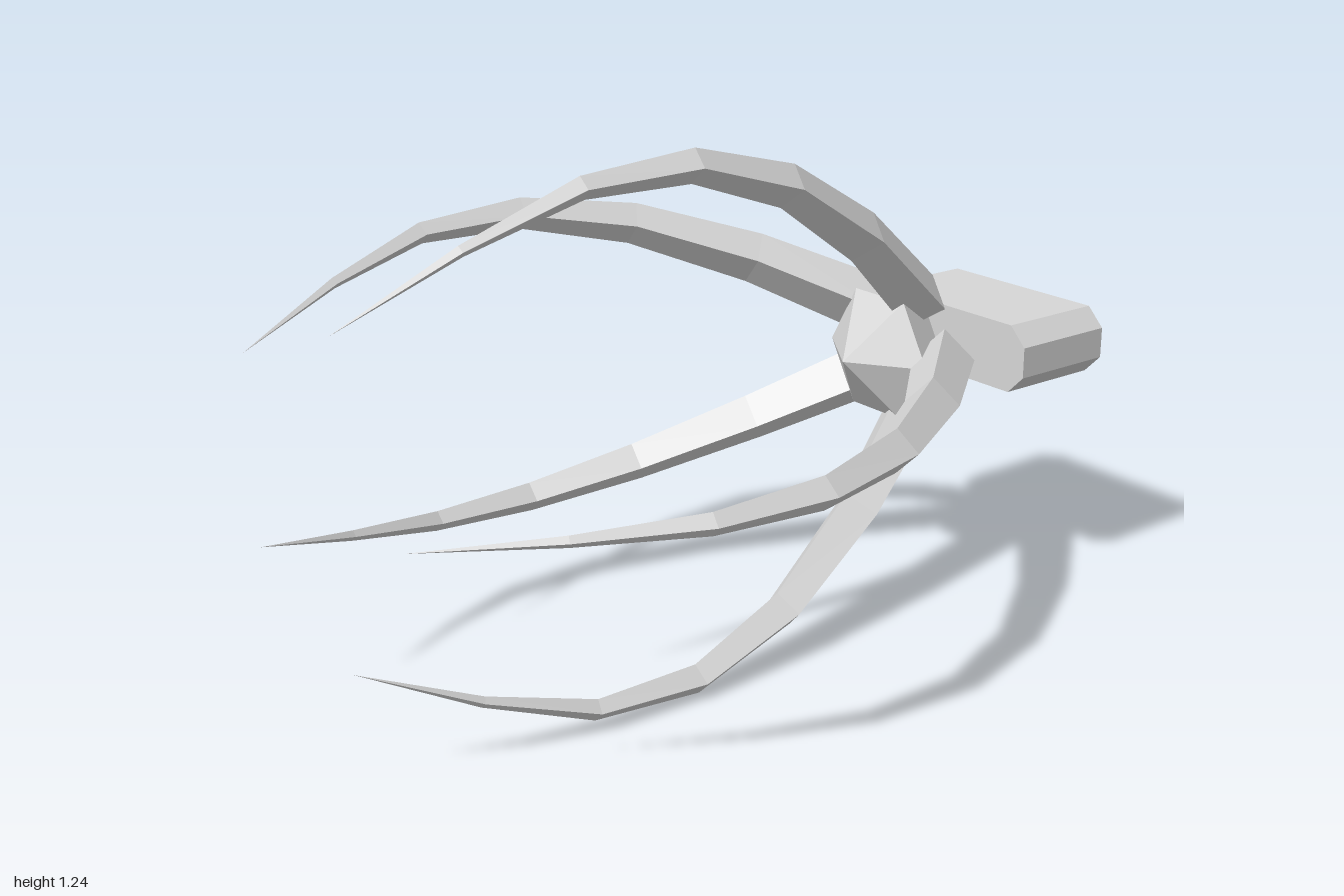
import * as THREE from 'three';

const CX = -0.06, CY = 0.625; // axis of the claw

// Four-sided curved prong in the local xz plane, tapering to a point.
// The section is turned back by the prong's own angle, so its ridges stay upright and level.
function prongGeometry(angle) {
  const path = [
    [0.13, -0.597], [0.356, -0.34], [0.528, -0.07], [0.615, 0.204],
    [0.604, 0.474], [0.506, 0.734], [0.368, 1.0],
  ];
  const last = path.length - 1;
  const pos = [], index = [];
  path.forEach(([r, z], i) => {
    if (i === last) { pos.push(r, 0, z); return; }
    const a = path[Math.max(i - 1, 0)], b = path[i + 1];
    const len = Math.hypot(b[0] - a[0], b[1] - a[1]);
    const nx = (b[1] - a[1]) / len, nz = -(b[0] - a[0]) / len;
    const w = 0.075 * (1 - i / last);
    for (let k = 0; k < 4; k++) {
      const phi = (k * Math.PI) / 2 - angle;
      const out = w * Math.cos(phi), side = w * Math.sin(phi);
      pos.push(r + nx * out, side, z + nz * out);
    }
  });
  for (let i = 0; i < last; i++) {
    for (let k = 0; k < 4; k++) {
      const a = i * 4 + k, b = i * 4 + (k + 1) % 4;
      if (i === last - 1) index.push(a, b, last * 4);
      else index.push(a, b, b + 4, a, b + 4, a + 4);
    }
  }
  index.push(0, 2, 1, 0, 3, 2); // root cap
  const indexed = new THREE.BufferGeometry();
  indexed.setAttribute('position', new THREE.Float32BufferAttribute(pos, 3));
  indexed.setIndex(index);
  const geo = indexed.toNonIndexed();
  geo.computeVertexNormals();
  return geo;
}

// Six-sided cylinder along z with a corner on the x axis
function hexAlongZ(rFront, rBack, zFront, zBack) {
  const geo = new THREE.CylinderGeometry(rFront, rBack, zFront - zBack, 6, 1, false, Math.PI / 6);
  geo.rotateX(Math.PI / 2);
  geo.translate(CX, CY, (zFront + zBack) / 2);
  return geo;
}

export function createModel() {
  const group = new THREE.Group();
  const metal = new THREE.MeshStandardMaterial({ color: 0xd6d6d6, flatShading: true });
  metal.name = 'light grey metal';

  const add = (name, geo) => {
    const mesh = new THREE.Mesh(geo, metal);
    mesh.name = name;
    group.add(mesh);
    return mesh;
  };

  // Five prongs around the hub
  for (let i = 0; i < 5; i++) {
    const angle = (i * Math.PI * 2) / 5;
    const mesh = add('prong' + (i + 1), prongGeometry(angle));
    mesh.position.set(CX, CY, 0);
    mesh.rotation.z = angle;
  }

  // Pointed hub
  add('hubPoint', hexAlongZ(0, 0.17, -0.385, -0.5));
  add('hubBase', hexAlongZ(0.17, 0.11, -0.5, -0.61));

  // Grip bar with chamfered ends, behind the hub
  const w = 0.279, h = 0.085, c = 0.047;
  const outline = [
    [w, -h + c], [w, h - c], [w - c, h], [-w + c, h],
    [-w, h - c], [-w, -h + c], [-w + c, -h], [w - c, -h],
  ].map(([x, y]) => new THREE.Vector2(x, y));
  const bar = new THREE.ExtrudeGeometry(new THREE.Shape(outline), { depth: 0.28, bevelEnabled: false });
  bar.translate(CX, CY, -1);
  add('gripBar', bar);

  return group;
}
